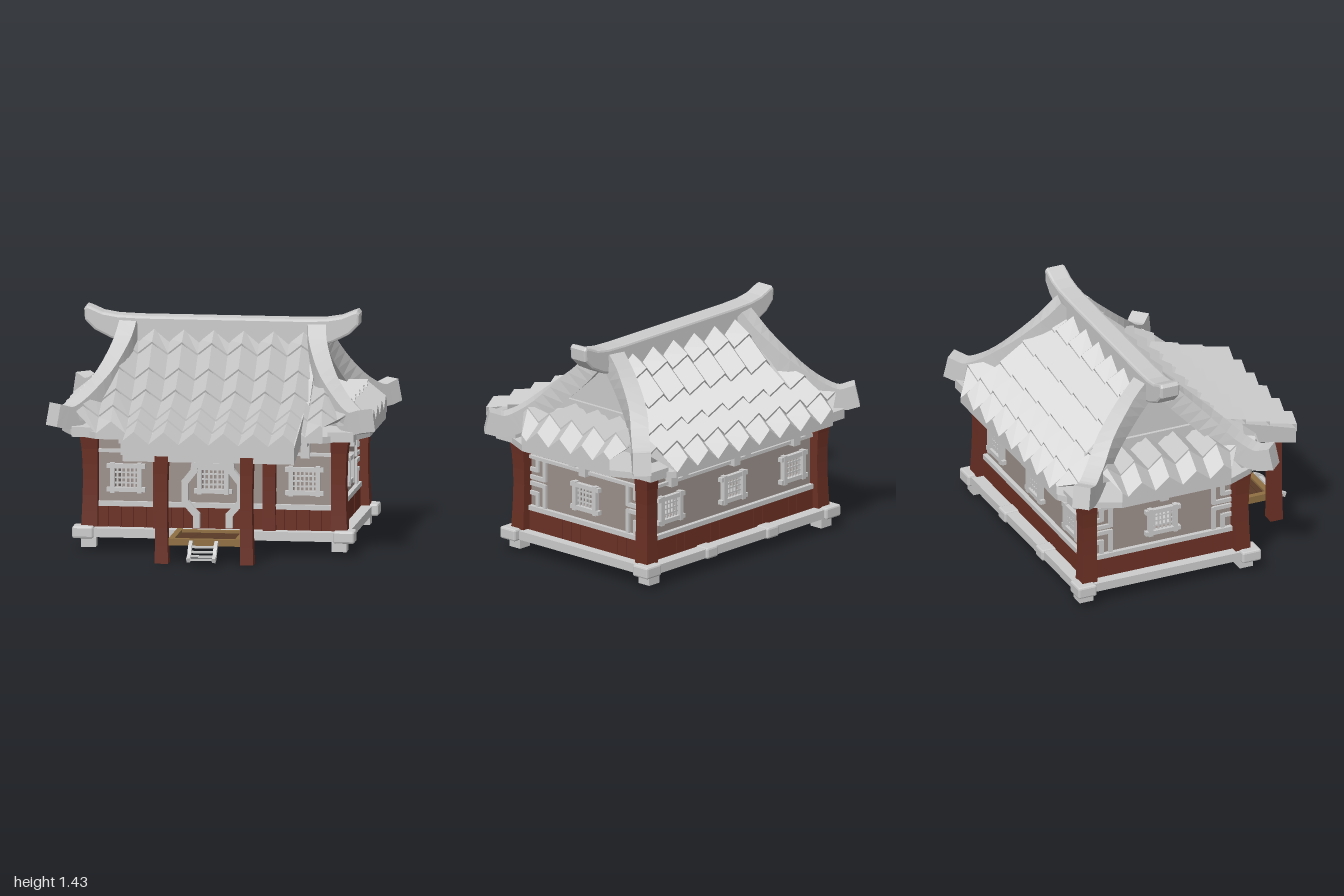
import * as THREE from 'three';
import { RoundedBoxGeometry } from 'three/addons/geometries/RoundedBoxGeometry.js';

const paint = (color, side = THREE.FrontSide) => new THREE.MeshStandardMaterial({ color, flatShading: true, side });
const GREY = paint(0xcccccc), TILE = paint(0xcccccc, THREE.DoubleSide);
const RED = paint(0x6b3024), PLASTER = paint(0x9c918c), WOOD = paint(0x8f6f42), DARK = paint(0x5a3a28);
const CZ = -0.222; // centre of the house body in z

function add(parent, name, geo, mat) {
  const m = new THREE.Mesh(geo, mat);
  m.name = name;
  parent.add(m);
  return m;
}
function box(parent, name, [w, h, d], [x, y, z], mat = GREY) {
  const m = add(parent, name, new THREE.BoxGeometry(w, h, d), mat);
  m.position.set(x, y, z);
  return m;
}
function softBox(parent, name, [w, h, d], [x, y, z]) {
  add(parent, name, new RoundedBoxGeometry(w, h, d, 1, 0.012), GREY).position.set(x, y, z);
}
function group(parent, name) {
  const g = new THREE.Group();
  g.name = name;
  parent.add(g);
  return g;
}
function extrude(points, depth, holes = [], bevel = 0) {
  const toPath = (pts, C) => new C(pts.map(p => new THREE.Vector2(...p)));
  const s = toPath(points, THREE.Shape);
  s.holes = holes.map(h => toPath(h, THREE.Path));
  return new THREE.ExtrudeGeometry(s, { depth, bevelEnabled: bevel > 0, bevelSize: bevel, bevelThickness: bevel, bevelOffset: -bevel, bevelSegments: 2 });
}
function mesh(pos, idx) {
  const g = new THREE.BufferGeometry();
  g.setAttribute('position', new THREE.Float32BufferAttribute(pos, 3));
  g.setIndex(idx);
  g.computeVertexNormals();
  return g;
}

// Skin a series of equal rings and cap both ends
function loft(rings) {
  const n = rings[0].length, idx = [], last = (rings.length - 1) * n;
  for (let i = 0; i < rings.length - 1; i++) for (let j = 0; j < n; j++) {
    const a = i * n + j, b = i * n + (j + 1) % n;
    idx.push(a, b, b + n, a, b + n, a + n);
  }
  for (let j = 1; j < n - 1; j++) idx.push(0, j + 1, j, last, last + j, last + j + 1);
  return mesh(rings.flat(2), idx);
}
// Rectangular bar along a smooth path, kept upright
function sweep(points, w, h0, h1, steps) {
  const curve = new THREE.CatmullRomCurve3(points.map(p => new THREE.Vector3(...p)));
  const rings = [];
  for (let i = 0; i <= steps; i++) {
    const t = i / steps, P = curve.getPoint(t), T = curve.getTangent(t);
    const L = new THREE.Vector3(0, 1, 0).cross(T).normalize(), N = T.clone().cross(L);
    const h = h0 + (h1 - h0) * t;
    rings.push([[-1, -1], [1, -1], [1, 1], [-1, 1]].map(([a, b]) =>
      P.clone().addScaledVector(L, a * w / 2).addScaledVector(N, b * h / 2).toArray()));
  }
  return loft(rings);
}
// Square post whose outer sides swell at the top and foot
function post(y0, y1, size, flareTop, flareFoot) {
  const rings = [];
  for (let i = 0; i <= 6; i++) {
    const t = i / 6, o = size + flareTop * t ** 4 + flareFoot * (1 - t) ** 2, y = y0 + (y1 - y0) * t;
    rings.push([[0, y, 0], [0, y, o], [o, y, o], [o, y, 0]]);
  }
  return loft(rings);
}

// One pleated course of roof tiles between two [out, y, lean] edges with [left, right] spans;
// lean pushes the pleat peaks outwards as well as up, and the lower edge closes to a flat base
const STEP = 0.0915, AMP = 0.075;
const pleat = x => { const k = Math.abs((x - 0.04) / STEP) % 2; return AMP * (k > 1 ? 2 - k : k); };
function tileRow([z0, y0, lean0], [z1, y1, lean1], span0, span1) {
  const pos = [], idx = [], clamp = THREE.MathUtils.clamp;
  for (let k = -12; k <= 12; k++) {
    const x = 0.04 + k * STEP, a = clamp(x, ...span0), b = clamp(x, ...span1);
    const ha = pleat(a), hb = pleat(b);
    pos.push(a, y0 + ha, z0 + ha * lean0, b, y1 + hb + 0.012, z1 + hb * lean1, b, y1 - 0.02, z1);
  }
  for (let k = 0; k < 24; k++) for (let r = 0; r < 2; r++) {
    const a = k * 3 + r, b = a + 1, c = a + 3, d = a + 4;
    idx.push(a, b, d, a, d, c);
  }
  return mesh(pos, idx);
}
function tileSlope(parent, name, profile, spans) {
  const g = group(parent, name);
  for (let i = 0; i < profile.length - 1; i++)
    add(g, 'tileRow', tileRow(profile[i], profile[i + 1], spans[i], spans[i + 1]), TILE);
  return g;
}

// Lattice window with crossing frame bars
function latticeWindow(parent, x) {
  const g = group(parent, 'latticeWindow');
  g.position.set(x, 0.445, 0.01);
  for (const s of [-1, 1]) {
    box(g, 'frameRail', [0.235, 0.027, 0.03], [0, s * 0.072, 0.005]);
    box(g, 'frameStile', [0.028, 0.185, 0.034], [s * 0.083, 0, 0.005]);
  }
  for (let i = -2; i <= 2; i++) box(g, 'latticeBar', [0.01, 0.13, 0.008], [i * 0.026, 0, 0]);
  for (let i = -1; i <= 1; i++) box(g, 'latticeBar', [0.16, 0.01, 0.008], [0, i * 0.032, 0]);
}
function wall(parent, name, len, windows, brackets) {
  const g = group(parent, name), h = len / 2;
  const holes = windows.map(x => [[x - 0.07, 0.385], [x - 0.07, 0.505], [x + 0.07, 0.505], [x + 0.07, 0.385]]);
  add(g, 'plaster', extrude([[-h, 0.12], [h, 0.12], [h, 0.74], [-h, 0.74]], 0.03, holes), PLASTER).position.z = -0.03;
  const n = Math.round(len / 0.075), w = len / n;
  for (let i = 0; i < n; i++)
    box(g, 'plank', [w - 0.002, 0.15, 0.02], [-h + w * (i + 0.5), 0.2, 0.008], RED);
  box(g, 'sill', [len, 0.03, 0.035], [0, 0.285, 0.01]);
  box(g, 'topRail', [len, 0.02, 0.03], [0, 0.61, 0.008]);
  windows.forEach(x => latticeWindow(g, x));
  brackets.forEach(x => {
    box(g, 'bracket', [0.055, 0.09, 0.05], [x, 0.635, 0.025]);
    box(g, 'bracketArm', [0.05, 0.05, 0.14], [x, 0.7, 0.07]);
  });
  return g;
}

export function createModel() {
  const model = new THREE.Group();
  const house = group(model, 'house'), roof = group(model, 'roof');
  house.position.set(0.015, 0, CZ);
  roof.position.z = CZ;

  // Base frame, corner pads, feet and floor
  for (const s of [-1, 1]) {
    box(house, 'baseBeam', [1.6, 0.055, 0.1], [0, 0.115, s * 0.54]);
    box(house, 'baseBeam', [0.1, 0.055, 1.1], [s * 0.775, 0.115, 0]);
    softBox(house, 'midPad', [0.1, 0.07, 0.11], [s * 0.27, 0.115, -0.55]);
    box(house, 'floorBeam', [0.11, 0.045, 1.05], [s * 0.27, 0.11, 0]);
    for (const t of [-1, 1]) {
      softBox(house, 'cornerPad', [0.13, 0.075, 0.125], [s * 0.8, 0.118, t * 0.55]);
      box(house, 'foot', [0.09, 0.06, 0.09], [s * 0.768, 0.055, t * 0.535]);
      const corner = group(house, 'corner');
      corner.scale.set(s, 1, t);
      add(corner, 'pillar', post(0.15, 0.72, 0.085, 0.025, 0.015), RED).position.set(0.715, 0, 0.463);
      box(corner, 'capital', [0.16, 0.06, 0.16], [0.785, 0.74, 0.56]);
      // Hip ridge with upturned tip
      const hip = add(roof, 'hipRidge', sweep([[0.57, 1.3, 0.04], [0.60, 1.17, 0.17], [0.68, 1.005, 0.34],
        [0.79, 0.875, 0.47], [0.88, 0.82, 0.565], [0.96, 0.845, 0.645]], 0.11, 0.12, 0.14, 16), GREY);
      hip.scale.set(s, 1, t);
    }
  }
  box(house, 'floor', [1.5, 0.02, 1.05], [0, 0.13, 0]);

  // Walls
  wall(house, 'frontWall', 1.46, [-0.547, -0.012, 0.547], [-0.55, 0.555]).position.z = 0.495;
  const back = wall(house, 'backWall', 1.46, [-0.547, 0.012, 0.547], [-0.547, 0.012, 0.547]);
  back.position.z = -0.495;
  back.rotation.y = Math.PI;
  for (const s of [-1, 1]) {
    const side = wall(house, 'sideWall', 0.98, [0], [0]);
    side.position.x = s * 0.74;
    side.rotation.y = s * Math.PI / 2;
    // Nested corner fretwork
    for (const m of [-1, 1]) for (const [x, y, end] of [[0.345, 0.48, 0.59], [0.405, 0.53, 0.59], [0.345, 0.44, 0.3], [0.405, 0.38, 0.3]]) {
      box(side, 'fretBar', [0.47 - x, 0.025, 0.02], [m * (0.47 + x) / 2, y, 0.006]);
      box(side, 'fretBar', [0.025, Math.abs(end - y) + 0.02, 0.02], [m * x, (end + y) / 2, 0.006]);
    }
  }

  // Door surround and inner posts
  const door = group(model, 'doorSurround');
  door.position.set(0.003, 0, 0.3);
  const outline = [[0.11, 0.54], [0.115, 0.5], [0.17, 0.43], [0.17, 0.31], [0.1, 0.23], [0.1, 0.16]];
  for (const s of [-1, 1]) for (let i = 0; i < outline.length - 1; i++) {
    const [x, y] = outline[i], [u, v] = outline[i + 1];
    box(door, 'doorFrame', [0.042, Math.hypot(u - x, v - y) + 0.02, 0.045], [s * (x + u) / 2, (y + v) / 2, 0])
      .rotation.z = s * Math.atan2(u - x, y - v);
  }
  box(door, 'doorHead', [0.22, 0.03, 0.045], [0, 0.535, 0]);
  for (const x of [-0.362, 0.31]) add(model, 'innerPost', post(0.14, 0.64, 0.075, 0.01, 0.005), RED).position.set(x, 0, 0.25);

  // Main roof: slopes, gables, eave board and ridge
  const sym = a => a.map(w => [-w, w]);
  const profile = [[0.05, 1.23, 0], [0.14, 1.145, 0.5], [0.28, 1.01, 0.5], [0.43, 0.9, 0.5], [0.57, 0.82, 0.4], [0.688, 0.73, 0]];
  const spans = sym([0.52, 0.56, 0.63, 0.73, 0.83, 0.695]);
  tileSlope(roof, 'frontSlope', profile, spans);
  tileSlope(roof, 'backSlope', profile, spans).rotation.y = Math.PI;
  for (const s of [-1, 1]) {
    tileSlope(roof, 'sideSlope', [[0.58, 0.885, 0], [0.84, 0.865, 0], [0.95, 0.765, 0]], sym([0.3, 0.45, 0.365])).rotation.y = s * Math.PI / 2;
    const half = [[0.05, 1.33], [0.16, 1.18], [0.30, 1.03], [0.44, 0.92], [0.5, 0.76]];
    const gable = add(roof, 'gable', extrude([...half, ...half.map(([z, y]) => [-z, y]).reverse()], 0.03), TILE);
    gable.rotation.y = Math.PI / 2;
    gable.position.x = s * 0.57 - 0.015;
    box(roof, 'gableRail', [0.03, 0.04, 0.62], [s * 0.59, 0.955, 0]);
  }
  const quarter = [[0.945, 0.365], [0.87, 0.53], [0.69, 0.68]];
  const flip = (a, b) => quarter.map(([x, z]) => [a * x, b * z]);
  const eave = extrude([...flip(1, 1), ...flip(-1, 1).reverse(), ...flip(-1, -1), ...flip(1, -1).reverse()], 0.04);
  eave.rotateX(-Math.PI / 2);
  add(roof, 'eaveBoard', eave, GREY).position.y = 0.705;
  const top = [[0.5, 1.37], [0.64, 1.375], [0.73, 1.39], [0.8, 1.42], [0.83, 1.43], [0.845, 1.41], [0.84, 1.34], [0.78, 1.28], [0.68, 1.23], [0.56, 1.195]];
  const ridge = extrude([...top, ...top.map(([x, y]) => [-x, y]).reverse()], 0.1, [], 0.015);
  add(roof, 'ridge', ridge, GREY).position.set(-0.005, 0, -0.046);

  // Porch roof
  const pl = -0.485, pr = 0.565;
  const body = add(model, 'porchRoofBody', extrude([[-0.26, 0.89], [-0.26, 0.74], [-0.4, 0.71], [-0.79, 0.625], [-0.79, 0.722], [-0.617, 0.777], [-0.455, 0.827]], pr - pl), TILE);
  body.rotation.y = Math.PI / 2;
  body.position.x = pl;
  tileSlope(model, 'porchSlope', [[0.22, 0.9, 0], [0.455, 0.825, 0], [0.617, 0.775, 0], [0.795, 0.72, 0]], Array(4).fill([pl, pr]));

  // Porch posts, deck and steps
  for (const x of [-0.25, 0.272]) add(model, 'porchPost', post(0, 0.66, 0.07, 0.012, 0.012), RED).position.set(x - 0.038, 0, 0.712);
  const deck = group(model, 'porchDeck');
  for (const x of [-0.19, 0.215]) box(deck, 'deckBeam', [0.035, 0.045, 0.4], [x, 0.13, 0.56], WOOD);
  for (const z of [0.39, 0.745]) box(deck, 'deckBeam', [0.44, 0.04, 0.035], [0.012, 0.13, z], WOOD);
  box(deck, 'deckJoist', [0.03, 0.02, 0.38], [0.012, 0.11, 0.56], DARK);
  for (let i = 0; i < 8; i++) box(deck, 'deckPlank', [0.38, 0.015, 0.038], [0.012, 0.127, 0.425 + i * 0.041], DARK);
  const steps = group(model, 'steps');
  const rail = [[0, 0.13, 0.77], [0, 0.105, 0.82], [0, 0.06, 0.855], [0, 0.042, 0.91]];
  for (const s of [-1, 1]) add(steps, 'stepRail', sweep(rail, 0.022, 0.03, 0.03, 8), GREY).position.x = 0.01 + s * 0.078;
  for (const [y, z] of [[0.11, 0.81], [0.083, 0.835], [0.06, 0.86], [0.045, 0.89]])
    box(steps, 'tread', [0.15, 0.012, 0.022], [0.01, y, z]);

  return model;
}
